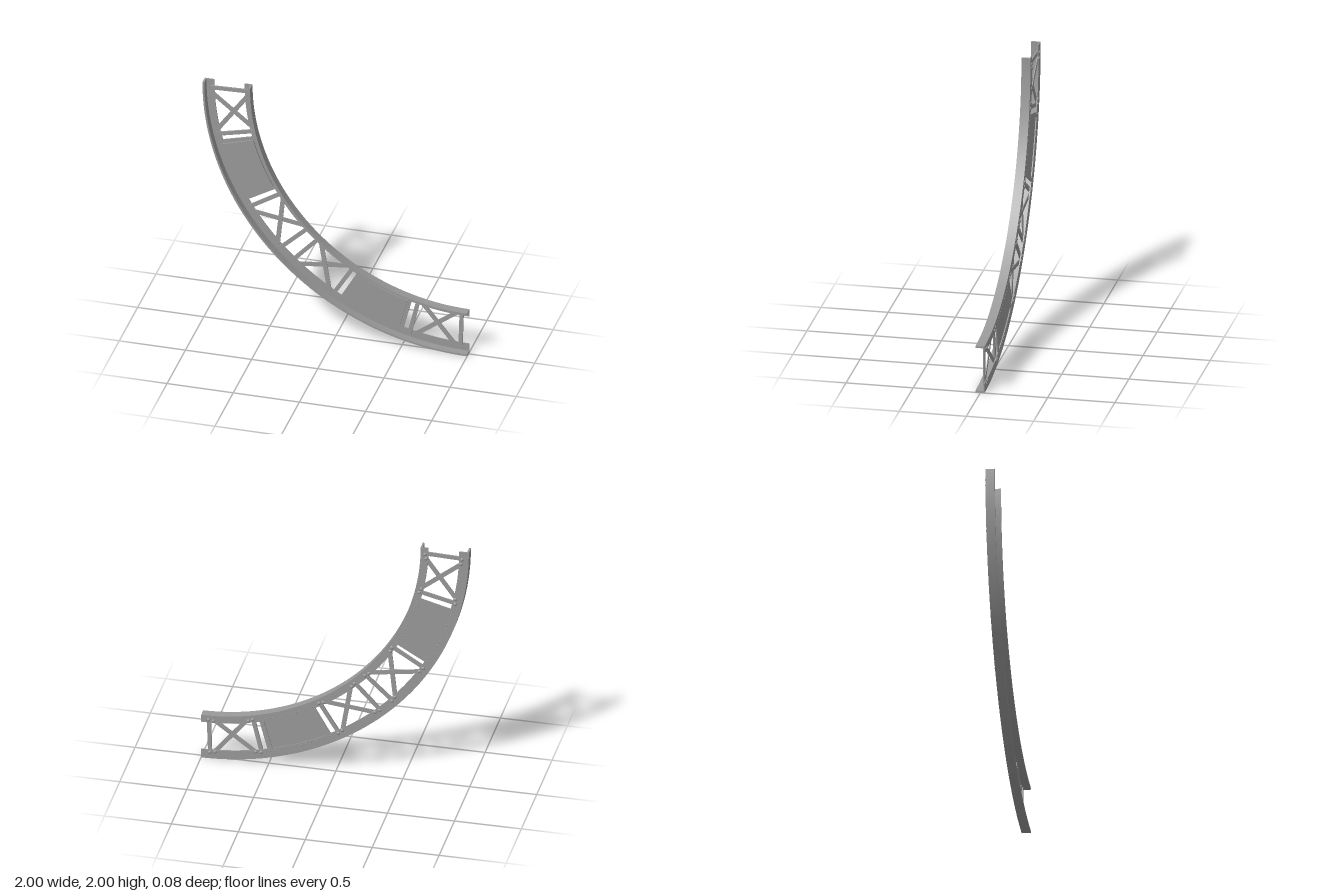
import * as THREE from 'three';
import { toCreasedNormals } from 'three/addons/utils/BufferGeometryUtils.js';

// The quarter arch is laid out in polar terms around (1, 2):
// r is the radius, t the angle in degrees from straight down towards -x.
const CX = 1, CY = 2;
const R_OUT = 2, R_IN = 1.64;
const Z_BACK = -0.03, Z_PLATE = -0.022, Z_FRONT = 0.038;
const rad = THREE.MathUtils.degToRad;
const polar = (r, t) => new THREE.Vector2(CX - r * Math.sin(rad(t)), CY - r * Math.cos(rad(t)));

export function createModel() {
  const model = new THREE.Group();
  model.name = 'curvedTruss';
  const material = new THREE.MeshStandardMaterial({ color: 0x999999 });

  const add = (parent, name, geometry) => {
    const mesh = new THREE.Mesh(geometry, material);
    mesh.name = name;
    parent.add(mesh);
    return mesh;
  };

  // Ring sector between two radii and two angles
  const sector = (r0, r1, t0, t1, z0, z1, curveSegments = 64) => {
    const shape = new THREE.Shape();
    const a0 = rad(270 - t0), a1 = rad(270 - t1);
    shape.absarc(CX, CY, r1, a0, a1, true);
    shape.absarc(CX, CY, r0, a1, a0, false);
    shape.closePath();
    const g = new THREE.ExtrudeGeometry(shape, { depth: z1 - z0, bevelEnabled: false, curveSegments });
    g.translate(0, 0, z0);
    return toCreasedNormals(g, rad(30));
  };

  // Straight flat bar between two polar points
  const bar = (parent, name, r0, t0, r1, t1, width, z0, z1) => {
    const a = polar(r0, t0), b = polar(r1, t1);
    const mesh = add(parent, name, new THREE.BoxGeometry(a.distanceTo(b), width, z1 - z0));
    mesh.position.set((a.x + b.x) / 2, (a.y + b.y) / 2, (z0 + z1) / 2);
    mesh.rotation.z = Math.atan2(b.y - a.y, b.x - a.x);
  };

  // Domed rivet heads on the back of the chords
  const dome = (radius, height) => new THREE.SphereGeometry(radius, 10, 4, 0, Math.PI * 2, 0, Math.PI / 2)
    .scale(1, height / radius, 1).rotateX(-Math.PI / 2);
  const bolt = dome(0.014, 0.009), rivet = dome(0.005, 0.005);
  const stud = (parent, name, geometry, r, t) => {
    const p = polar(r, t);
    add(parent, name, geometry).position.set(p.x, p.y, Z_BACK);
  };

  // Angle-section chords: back plate plus forward flange
  const chords = new THREE.Group();
  chords.name = 'chords';
  model.add(chords);
  add(chords, 'outerPlate', sector(1.928, R_OUT, 0, 90, Z_BACK, Z_PLATE));
  add(chords, 'outerFlange', sector(R_OUT - 0.014, R_OUT, 0, 90, Z_PLATE, Z_FRONT));
  add(chords, 'innerPlate', sector(R_IN, 1.698, 0, 90, Z_BACK, Z_PLATE));
  add(chords, 'innerFlange', sector(R_IN, R_IN + 0.014, 0, 90, Z_PLATE, Z_FRONT));

  // Cross-braced bay between two radial struts
  const bracedBay = (t0, t1) => {
    const bay = new THREE.Group();
    bay.name = 'bracedBay';
    model.add(bay);
    for (const t of [t0, t1]) {
      bar(bay, 'strut', 1.662, t, 1.96, t, 0.03, Z_PLATE, -0.01);
      stud(bay, 'bolt', bolt, 1.674, t);
      stud(bay, 'bolt', bolt, 1.95, t);
    }
    const a = t0 + 1, b = t1 - 1.2;
    bar(bay, 'diagonal', 1.672, a, 1.95, b, 0.034, Z_PLATE, -0.016);
    bar(bay, 'diagonal', 1.95, a, 1.672, b, 0.034, -0.016, -0.01);
    for (const t of [a + 0.2, b]) {
      stud(bay, 'bolt', bolt, 1.682, t);
      stud(bay, 'bolt', bolt, 1.942, t);
    }
  };

  // Raised panel on a frame set between the chords, riveted along both
  const panelBay = (t0, t1) => {
    const bay = new THREE.Group();
    bay.name = 'panelBay';
    model.add(bay);
    for (const t of [t0, t1 - 1.1]) {
      add(bay, 'panelFrame', sector(1.66, 1.965, t, t + 1.1, -0.029, -0.021, 4));
    }
    add(bay, 'panel', sector(1.694, 1.932, t0 + 0.9, t1 - 0.9, -0.0215, -0.01, 16));
    const count = 13;
    for (let i = 0; i < count; i++) {
      const t = THREE.MathUtils.lerp(t0 + 0.4, t1 - 0.4, i / (count - 1));
      stud(bay, 'rivet', rivet, 1.68, t);
      stud(bay, 'rivet', rivet, 1.945, t);
    }
  };

  // Two identical 45 degree modules
  for (const start of [0, 45]) {
    bracedBay(start + 1.9, start + 13.3);
    panelBay(start + 14.9, start + 30.1);
    bracedBay(start + 31.7, start + 43.1);
  }
  return model;
}
